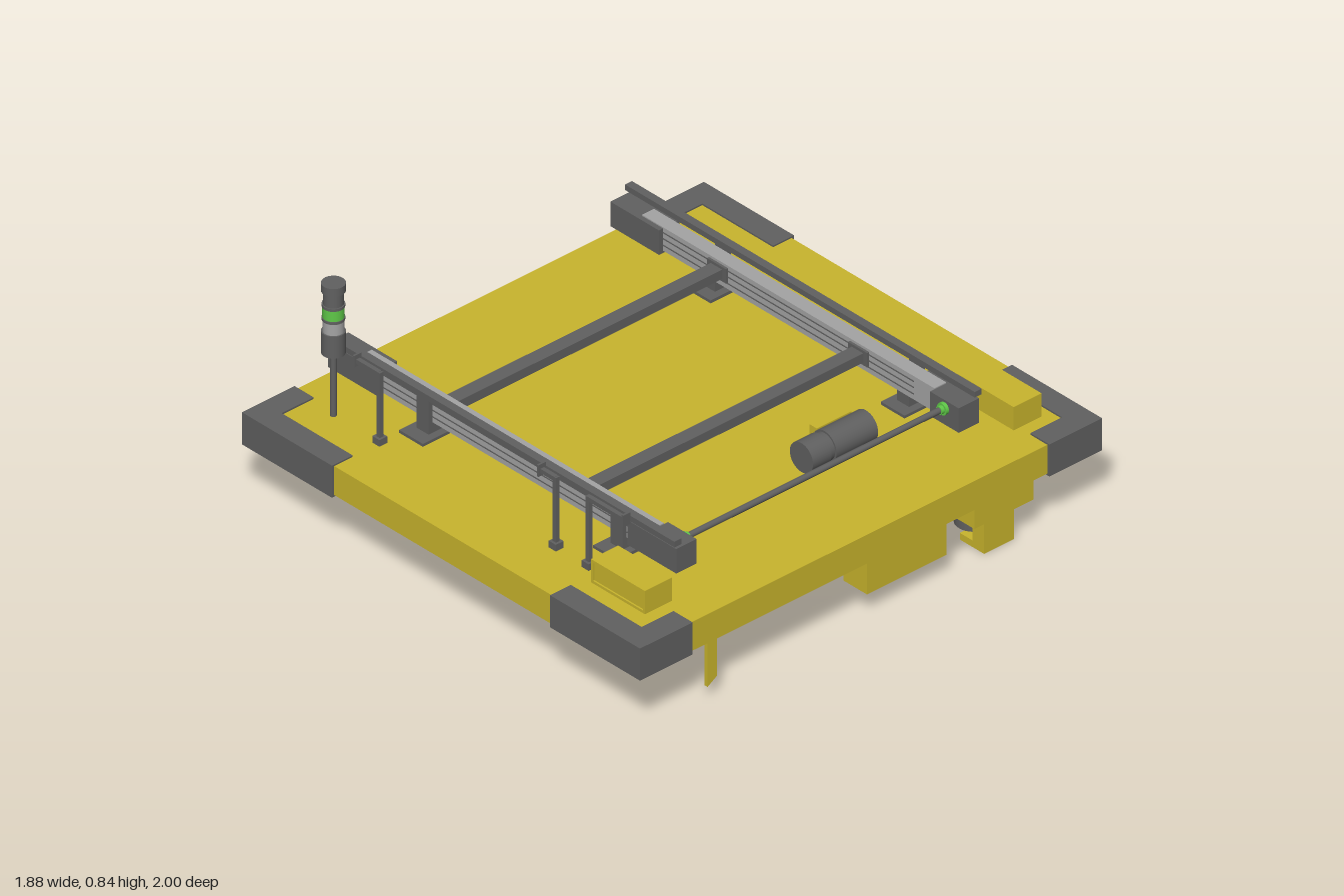
import * as THREE from 'three';

const mat = (name, color) => {
  const m = new THREE.MeshStandardMaterial({ color });
  m.name = name;
  return m;
};

export function createModel() {
  const root = new THREE.Group();
  root.name = 'conveyorPlatform';
  const yellow = mat('yellow paint', 0xc9b52d);
  const grey = mat('dark grey', 0x606060);
  const light = mat('light aluminium', 0xa4a4a4);
  const black = mat('black', 0x2c2c2c);
  const green = mat('signal green', 0x5fc848);

  const add = (name, geo, m) => {
    const mesh = new THREE.Mesh(geo, m);
    mesh.name = name;
    root.add(mesh);
    return mesh;
  };
  // box from its limits, which may be given in either order
  const box = (name, m, x0, x1, y0, y1, z0, z1) => {
    const mesh = add(name, new THREE.BoxGeometry(Math.abs(x1 - x0), Math.abs(y1 - y0), Math.abs(z1 - z0)), m);
    mesh.position.set((x0 + x1) / 2, (y0 + y1) / 2, (z0 + z1) / 2);
    return mesh;
  };
  // cylinder along an axis, from a to b; u and v are the other two coordinates in xyz order
  const cyl = (name, m, axis, r, a, b, u, v, sides = 32) => {
    const g = new THREE.CylinderGeometry(r, r, Math.abs(b - a), sides);
    const c = (a + b) / 2;
    if (axis === 'x') g.rotateZ(Math.PI / 2).translate(c, u, v);
    else if (axis === 'z') g.rotateX(Math.PI / 2).translate(u, v, c);
    else g.translate(u, c, v);
    return add(name, g, m);
  };

  // deck with L-shaped corner bumpers
  box('deck', yellow, -0.93, 0.93, 0.225, 0.335, -0.99, 0.99);
  for (const sx of [-1, 1]) for (const sz of [-1, 1]) {
    const pts = [[0.515, 1], [0.94, 1], [0.94, 0.772], [0.85, 0.772], [0.85, 0.91], [0.515, 0.91]];
    const shape = new THREE.Shape(pts.map(([x, z]) => new THREE.Vector2(x * sx, z * sz)));
    const g = new THREE.ExtrudeGeometry(shape, { depth: 0.122, bevelEnabled: false });
    g.rotateX(-Math.PI / 2).translate(0, 0.219, 0);
    add('cornerBumper', g, grey);
  }

  // conveyor side rails, mirrored front to back
  for (const s of [-1, 1]) {
    box('railBeam', light, -0.78, 0.6, 0.385, 0.474, s * 0.585, s * 0.637);
    for (const y of [0.405, 0.43, 0.453])
      for (const z of [0.584, 0.638])
        box('railGroove', grey, -0.68, 0.505, y, y + 0.004, s * (z - 0.001), s * (z + 0.001));
    box('leftEndBlock', grey, -0.91, -0.68, 0.377, 0.47, s * 0.567, s * 0.655);
    box('rightEndBlock', grey, 0.6, 0.735, 0.377, 0.47, s * 0.567, s * 0.655);
    box('rightEndPlate', grey, 0.505, 0.6, 0.377, 0.47, s * 0.637, s * 0.655);
    box('guideStrip', grey, -0.915, 0.737, 0.482, 0.503, s * 0.635, s * 0.665);

    // feet and columns
    for (const x of [-0.463, 0.453]) {
      box('footPlate', grey, x - 0.056, x + 0.056, 0.335, 0.346, s * 0.54, s * 0.705);
      box('footColumn', grey, x - 0.028, x + 0.028, 0.34, 0.385, s * 0.585, s * 0.655);
      box('columnFront', grey, x - 0.028, x + 0.028, 0.34, 0.483, s * 0.637, s * 0.655);
    }
    // cross bar flanges and shaft bearings
    for (const x of [-0.418, 0.248])
      box('barFlange', grey, x - 0.045, x + 0.045, 0.41, 0.465, s * 0.576, s * 0.586);
    cyl('bearingCap', green, 'z', 0.022, s * 0.555, s * 0.568, 0.668, 0.44, 24);
    cyl('bearingNose', green, 'z', 0.015, s * 0.543, s * 0.556, 0.668, 0.44, 24);
  }

  // cross bars and drive shaft
  for (const x of [-0.418, 0.248])
    box('crossBar', grey, x - 0.027, x + 0.027, 0.42, 0.455, -0.58, 0.58);
  cyl('driveShaft', grey, 'z', 0.011, -0.56, 0.56, 0.668, 0.44, 20);

  // drive motor
  cyl('motorBody', grey, 'z', 0.057, -0.35, -0.17, 0.535, 0.405);
  cyl('motorNeck', grey, 'z', 0.05, -0.17, -0.15, 0.535, 0.405);
  cyl('motorHead', grey, 'z', 0.055, -0.15, -0.07, 0.535, 0.405);
  box('motorBracket', yellow, 0.447, 0.482, 0.335, 0.44, -0.335, -0.185);

  // control boxes with raised rims on the outer faces
  for (const [z0, z1, s] of [[0.728, 0.84, 1], [-0.865, -0.75, -1]]) {
    box('controlBox', yellow, 0.54, 0.795, 0.335, 0.423, z0, z1);
    const f = s > 0 ? z1 : z0;
    box('controlRim', yellow, 0.54, 0.795, 0.413, 0.423, f, f + s * 0.006);
    box('controlRim', yellow, 0.54, 0.795, 0.335, 0.345, f, f + s * 0.006);
    for (const x of [0.54, 0.785]) box('controlRim', yellow, x, x + 0.01, 0.345, 0.413, f, f + s * 0.006);
  }

  // signal tower
  const tower = [
    ['towerPole', grey, 0.011, 0.335, 0.58], ['towerBase', grey, 0.04, 0.575, 0.658],
    ['towerLightSegment', light, 0.035, 0.658, 0.702], ['towerRing', grey, 0.038, 0.702, 0.712],
    ['towerGreenLamp', green, 0.036, 0.712, 0.752], ['towerRing', grey, 0.038, 0.752, 0.762],
    ['towerNeck', grey, 0.034, 0.762, 0.81], ['towerCap', grey, 0.04, 0.81, 0.84],
  ];
  for (const [n, m, r, a, b] of tower) cyl(n, m, 'y', r, a, b, -0.737, 0.79);

  // sensor posts: post x and arm end x
  for (const [x, e] of [[-0.518, -0.625], [0.315, 0.245], [0.47, 0.645]]) {
    box('sensorFoot', grey, x - 0.017, x + 0.017, 0.335, 0.36, 0.773, 0.807);
    box('sensorPost', grey, x - 0.008, x + 0.008, 0.36, 0.605, 0.782, 0.798);
    box('sensorArm', grey, x, e, 0.59, 0.606, 0.782, 0.798);
    box('sensorPlate', grey, e - 0.004, e + 0.004, 0.578, 0.622, 0.774, 0.806);
  }

  // underside bar with end caps
  box('underBar', black, -0.615, 0.595, 0.148, 0.225, 0.64, 0.725);
  for (const x of [-0.69, 0.595])
    cyl('underBarCap', black, 'x', 0.052, x, x + 0.07, 0.185, 0.685, 8).geometry.computeVertexNormals();

  // pointed tab under the left edge
  const tab = new THREE.Shape([[0.65, 0.225], [0.69, 0.225], [0.69, 0.05], [0.65, 0.075]]
    .map(([z, y]) => new THREE.Vector2(z === 0.69 ? -0.69 : -0.65, y)));
  const tabGeo = new THREE.ExtrudeGeometry(tab, { depth: 0.014, bevelEnabled: false });
  add('hangingTab', tabGeo.rotateY(Math.PI / 2).translate(0.907, 0, 0), yellow);

  // underside housings and guide wheels; the left set sits a little further in
  for (const [s, d] of [[-1, 0], [1, -0.03]]) {
    const X = (v) => s * (v + d);
    box('underHousing', yellow, s * 0.8, s * 0.91, 0.09, 0.225, -0.355, -0.01);
    box('wheelMount', yellow, s * 0.79, s * 0.91, 0.135, 0.225, -0.73, -0.475);
    box('wheelBracketTop', yellow, X(0.8), X(0.915), 0.095, 0.135, -0.67, -0.54);
    box('wheelBracketBack', yellow, X(0.86), X(0.915), 0.025, 0.095, -0.67, -0.54);
    box('wheelBracketFoot', yellow, X(0.8), X(0.915), 0, 0.025, -0.67, -0.54);
    cyl('wheelAxle', grey, 'y', 0.015, 0.025, 0.1, X(0.815), -0.605, 16);
    cyl('guideWheel', grey, 'y', 0.066, 0.037, 0.09, X(0.792), -0.61);
  }
  return root;
}
